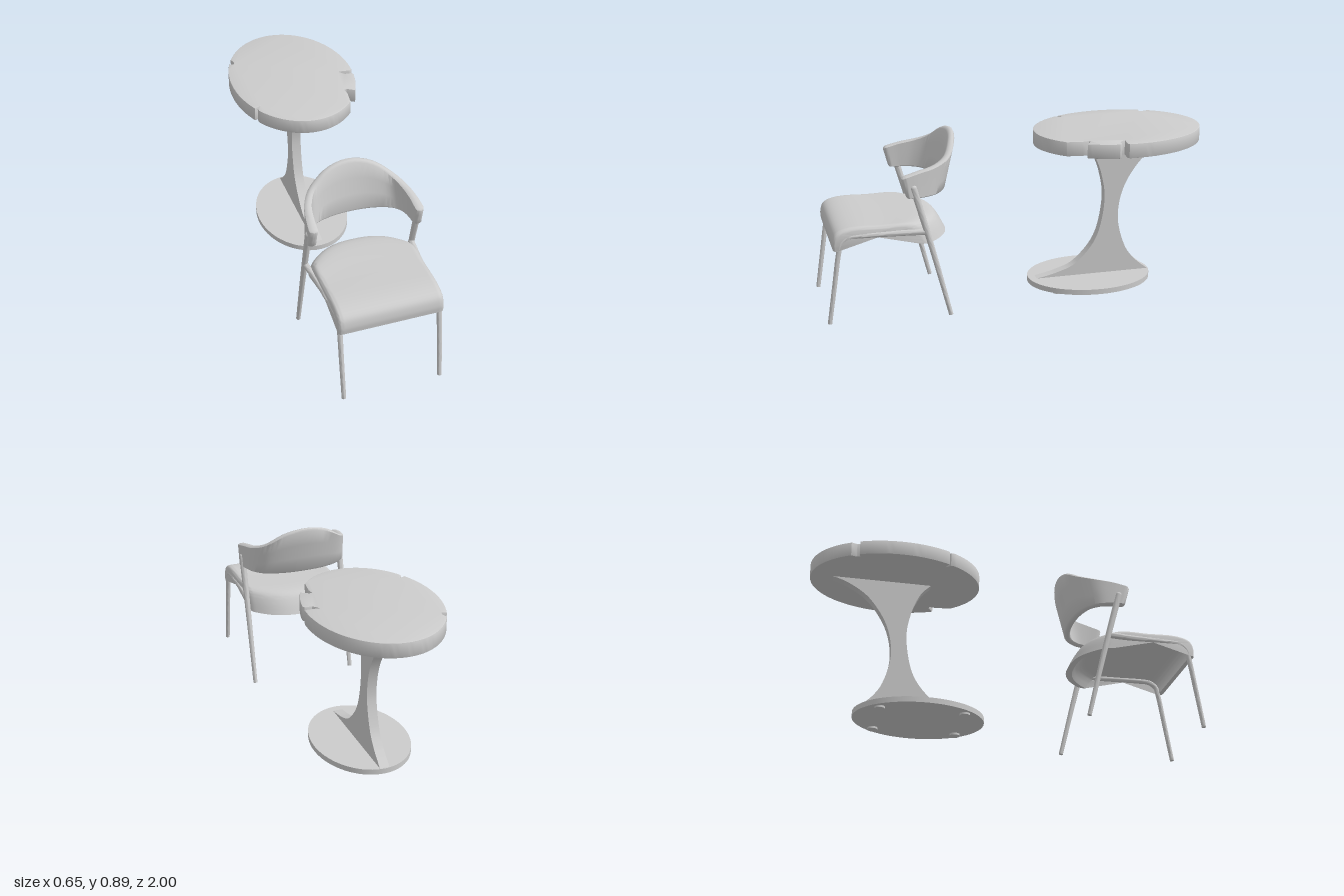
import * as THREE from 'three';
import { toCreasedNormals } from 'three/addons/utils/BufferGeometryUtils.js';

const V = (x, y, z) => new THREE.Vector3(x, y, z);
const material = new THREE.MeshStandardMaterial({ color: 0xcccccc });

function add(parent, name, geometry) {
  const mesh = new THREE.Mesh(geometry, material);
  mesh.name = name;
  parent.add(mesh);
  return mesh;
}

// Solid skin over closed rings of points, capped at both ends, facing outward.
function loft(rings) {
  const n = rings[0].length, pts = rings.flat(), index = [];
  for (let i = 0; i < rings.length - 1; i++) {
    for (let j = 0; j < n; j++) {
      const a = i * n + j, b = i * n + (j + 1) % n;
      index.push(a, b, a + n, b, b + n, a + n);
    }
  }
  [[rings[0], 0], [rings.at(-1), pts.length - n]].forEach(([ring, start], end) => {
    const c = pts.length;
    pts.push(ring.reduce((s, p) => s.add(p), V(0, 0, 0)).divideScalar(n));
    for (let j = 0; j < n; j++) {
      const a = start + j, b = start + (j + 1) % n;
      index.push(...(end ? [c, a, b] : [c, b, a]));
    }
  });
  let volume = 0;
  for (let i = 0; i < index.length; i += 3) {
    volume += pts[index[i]].dot(pts[index[i + 1]].clone().cross(pts[index[i + 2]]));
  }
  if (volume < 0) index.reverse();
  const g = new THREE.BufferGeometry().setFromPoints(pts);
  g.setIndex(index);
  return toCreasedNormals(g, 0.8);
}

// Round bar along a smooth path, tapering from r0 to r1.
function bar(points, r0, r1, steps = 28) {
  const curve = new THREE.CatmullRomCurve3(points, false, 'centripetal');
  const { normals, binormals } = curve.computeFrenetFrames(steps);
  const rings = normals.map((nrm, i) => {
    const r = THREE.MathUtils.lerp(r0, r1, i / steps), c = curve.getPointAt(i / steps);
    return Array.from({ length: 16 }, (_, j) => {
      const a = j / 16 * Math.PI * 2;
      return c.clone().addScaledVector(nrm, r * Math.cos(a)).addScaledVector(binormals[i], r * Math.sin(a));
    });
  });
  return loft(rings);
}

// Cushion: a bent sheet with front and back lips and a rounded back plan.
function seatGeometry() {
  const smooth = (p) => new THREE.CatmullRomCurve3(p.map(([z, y]) => V(0, y, z)), false, 'centripetal').getPoints(36);
  const outer = smooth([[0.958, 0.382], [0.96, 0.42], [0.945, 0.465], [0.89, 0.49], [0.66, 0.492], [0.46, 0.49], [0.42, 0.475], [0.392, 0.44], [0.362, 0.382]]);
  const inner = smooth([[0.935, 0.382], [0.935, 0.41], [0.92, 0.44], [0.88, 0.455], [0.66, 0.457], [0.475, 0.455], [0.445, 0.445], [0.42, 0.42], [0.395, 0.384]]);
  const rings = [];
  for (let i = 0; i <= 40; i++) {
    const s = Math.sin((i / 40 - 0.5) * Math.PI), k = Math.abs(s);
    const f = k > 0.92 ? Math.max(0.08, Math.sqrt(Math.max(0, 1 - ((k - 0.92) / 0.08) ** 2))) : 1;
    const back = 0.13 * k ** 2.6;
    const place = (p, q) => {
      const mid = p.clone().lerp(q, 0.6), r = mid.clone().lerp(p, f);
      r.z += back * THREE.MathUtils.clamp((0.85 - r.z) / 0.4, 0, 1);
      r.x = 0.262 * s;
      return r;
    };
    rings.push([...outer.map((p, j) => place(p, inner[j])),
      ...outer.map((p, j) => {
        const mid = p.clone().lerp(inner[j], 0.6);
        return place(mid.clone().lerp(inner[j], 1), mid.clone().lerp(inner[j], 1));
      }).reverse()]);
  }
  return loft(rings);
}

// Wraparound backrest: rounded section between a top and a bottom rail.
function backrestGeometry() {
  const rail = (half) => new THREE.CatmullRomCurve3([
    ...half.slice(1).reverse().map(([x, y, z]) => V(-x, y, z)), ...half.map((p) => V(...p))]);
  const top = rail([[0, 0.89, 0.303], [0.115, 0.868, 0.32], [0.21, 0.81, 0.365], [0.258, 0.777, 0.44], [0.279, 0.758, 0.53], [0.289, 0.735, 0.62]]);
  const bottom = rail([[0, 0.625, 0.365], [0.125, 0.625, 0.377], [0.215, 0.625, 0.412], [0.262, 0.625, 0.465], [0.282, 0.625, 0.525], [0.29, 0.625, 0.59]]);
  const side = [[0, 0.5], [0.012, 0.2], [0.05, 0], [0.35, 0], [0.65, 0], [0.95, 0], [0.988, 0.2]];
  const section = [...side, ...side.map(([v, w]) => [1 - v, 1 - w])];
  const rings = [];
  for (let i = 0; i <= 56; i++) {
    const s = Math.sin((i / 56 - 0.5) * Math.PI), k = Math.abs(s), t = (s + 1) / 2;
    const f = k > 0.95 ? Math.max(0.05, Math.sqrt(Math.max(0, 1 - ((k - 0.95) / 0.05) ** 2))) : 1;
    const a = bottom.getPoint(t), b = top.getPoint(t);
    const tan = bottom.getTangent(t).setY(0).normalize(), inward = V(-tan.z, 0, tan.x);
    const thick = 0.034 + 0.01 * k ** 3;
    rings.push(section.map(([v, w]) => a.clone()
      .lerp(b, 0.5 + (v - 0.5) * (1 - 0.2 * (1 - f)))
      .addScaledVector(inward, thick * (0.5 + (w - 0.5) * f))));
  }
  return loft(rings);
}

// Oval slab with natural cracks in its rim, given as [angle, radius factor].
function tableTopGeometry() {
  const cracks = [
    [[0.09, 1], [0.115, 0.96], [0.12, 0.78], [0.15, 0.8], [0.19, 0.86], [0.175, 0.97], [0.2, 1]],
    [[0.58, 1], [0.6, 0.87], [0.63, 0.84], [0.69, 0.9], [0.78, 0.95], [0.85, 1]],
    [[2.49, 1], [2.53, 0.98], [2.54, 0.9], [2.57, 1]],
    [[3.66, 1], [3.69, 0.93], [3.73, 0.94], [3.77, 1]],
  ];
  let rim = [];
  for (let i = 0; i < 120; i++) {
    const a = i / 120 * Math.PI * 2;
    if (!cracks.some((c) => a >= c[0][0] - 0.01 && a <= c.at(-1)[0] + 0.01)) rim.push([a, 1]);
  }
  for (const c of cracks) {
    const at = rim.findIndex(([a]) => a > c[0][0]);
    rim.splice(at, 0, ...c);
  }
  const shape = new THREE.Shape(rim.map(([a, r]) => new THREE.Vector2(0.325 * r * Math.cos(a), -0.44 * r * Math.sin(a))));
  const g = new THREE.ExtrudeGeometry(shape, { depth: 0.067, bevelSize: 0.004, bevelOffset: -0.004, bevelThickness: 0.004, bevelSegments: 2 });
  return toCreasedNormals(g.rotateX(-Math.PI / 2).translate(0, 0.764, -0.56), 0.6);
}

// Waisted plank pedestal, its profile drawn in z and y.
function pedestalGeometry() {
  const v = (p) => p.map(([z, y]) => new THREE.Vector2(z, y));
  const shape = new THREE.Shape();
  shape.moveTo(-0.12, 0.036);
  shape.splineThru(v([[-0.24, 0.062], [-0.35, 0.112], [-0.455, 0.245], [-0.495, 0.44], [-0.475, 0.59], [-0.43, 0.7], [-0.37, 0.765]]));
  shape.lineTo(-0.9, 0.765);
  shape.splineThru(v([[-0.8, 0.73], [-0.69, 0.652], [-0.6, 0.51], [-0.571, 0.35], [-0.605, 0.2], [-0.66, 0.11], [-0.745, 0.036]]));
  const g = new THREE.ExtrudeGeometry(shape, { depth: 0.05, bevelEnabled: false, curveSegments: 40 });
  return toCreasedNormals(g.translate(0, 0, -0.025).rotateY(-Math.PI / 2), 0.6);
}

export function createModel() {
  const model = new THREE.Group();

  // Table
  const table = new THREE.Group();
  table.name = 'table';
  add(table, 'tableTop', tableTopGeometry());
  add(table, 'pedestal', pedestalGeometry());
  add(table, 'basePlate', new THREE.CylinderGeometry(1, 1, 0.028, 72).scale(0.245, 1, 0.33).translate(0, 0.024, -0.42));
  for (const x of [-0.14, 0.14]) for (const z of [-0.63, -0.21]) {
    add(table, 'footPad', new THREE.CylinderGeometry(0.026, 0.026, 0.012, 24)).position.set(x, 0.006, z);
  }

  // Chair
  const chair = new THREE.Group();
  chair.name = 'chair';
  add(chair, 'seat', seatGeometry());
  add(chair, 'backrest', backrestGeometry());
  for (const s of [-1, 1]) {
    // Front leg bends into the side rail and meets the rear leg
    add(chair, 'frontLegAndRail', bar([V(s * 0.246, 0, 0.989), V(s * 0.248, 0.2, 0.958), V(s * 0.249, 0.37, 0.931),
      V(s * 0.25, 0.42, 0.918), V(s * 0.251, 0.446, 0.88), V(s * 0.253, 0.45, 0.83), V(s * 0.26, 0.45, 0.65), V(s * 0.275, 0.45, 0.498)], 0.011, 0.015, 60));
    add(chair, 'rearLeg', bar([V(s * 0.279, 0, 0.385), V(s * 0.278, 0.35, 0.472), V(s * 0.277, 0.68, 0.56)], 0.011, 0.017));
    add(chair, 'rearLegTip', new THREE.SphereGeometry(0.017, 20, 14)).position.set(s * 0.277, 0.68, 0.56);
  }

  model.add(table, chair);
  return model;
}
